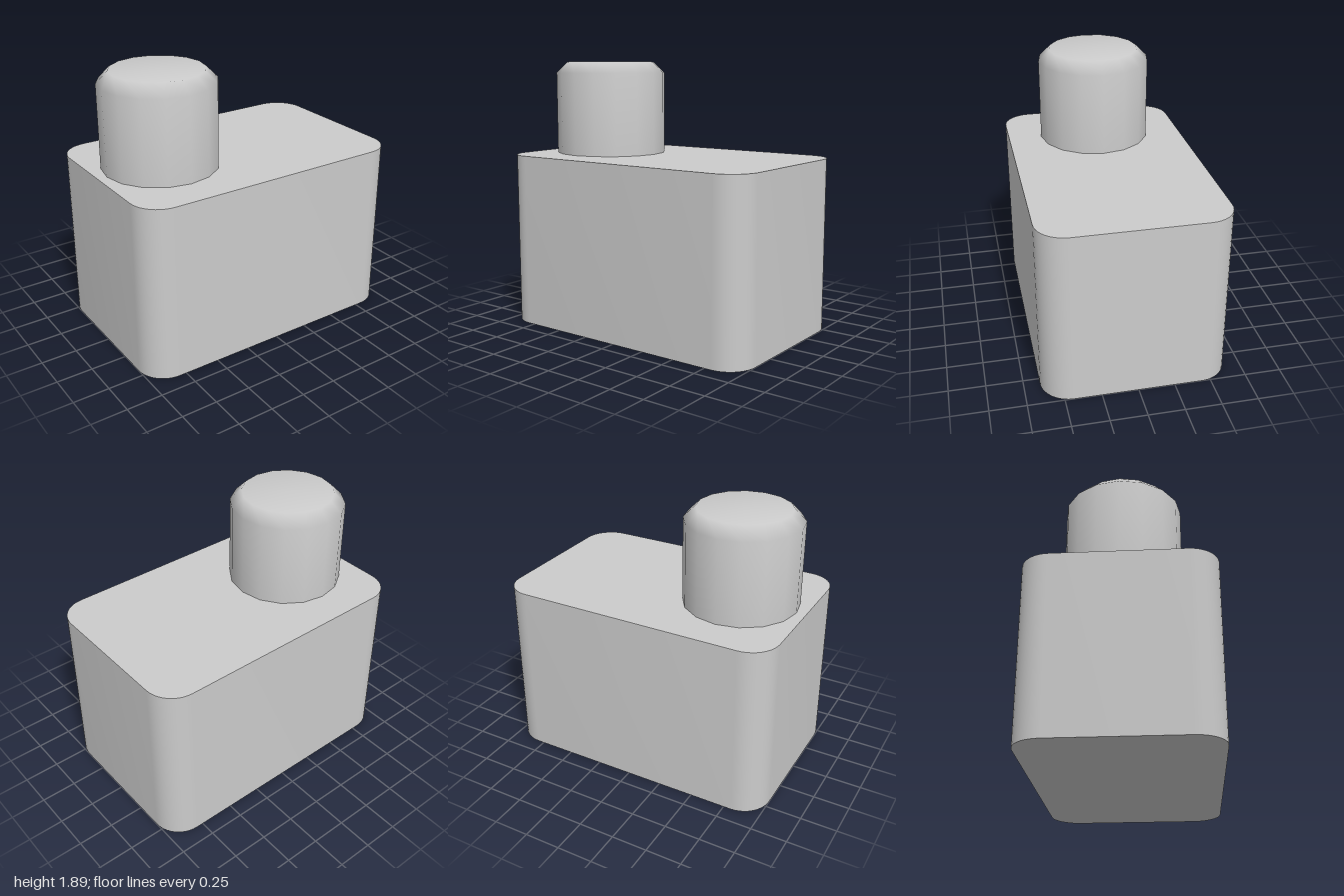
import * as THREE from 'three';
import { toCreasedNormals } from 'three/addons/utils/BufferGeometryUtils.js';

export function createModel() {
  const group = new THREE.Group();
  const grey = new THREE.MeshStandardMaterial({ color: 0xcccccc });
  grey.name = 'light grey';

  function add(name, geometry) {
    const mesh = new THREE.Mesh(geometry, grey);
    mesh.name = name;
    group.add(mesh);
    return mesh;
  }

  // Body: a block with rounded upright edges
  const w = 1, d = 0.64, r = 0.2, height = 1.23;
  const outline = new THREE.Shape();
  outline.absarc(w - r, d - r, r, 0, Math.PI / 2);
  outline.absarc(-w + r, d - r, r, Math.PI / 2, Math.PI);
  outline.absarc(-w + r, -d + r, r, Math.PI, Math.PI * 1.5);
  outline.absarc(w - r, -d + r, r, Math.PI * 1.5, Math.PI * 2);
  outline.closePath();
  const block = new THREE.ExtrudeGeometry(outline, { depth: height, bevelEnabled: false, curveSegments: 5 });
  block.rotateX(-Math.PI / 2);
  add('body', toCreasedNormals(block, Math.PI / 4));

  // Knob: a sixteen-sided post with a bevelled, smoothly shaded top
  const profile = [[0.4, height], [0.4, 1.815], [0.32, 1.895], [0, 1.895]]
    .map(([x, y]) => new THREE.Vector2(x, y));
  add('knob', new THREE.LatheGeometry(profile, 16)).position.x = -0.535;

  return group;
}
